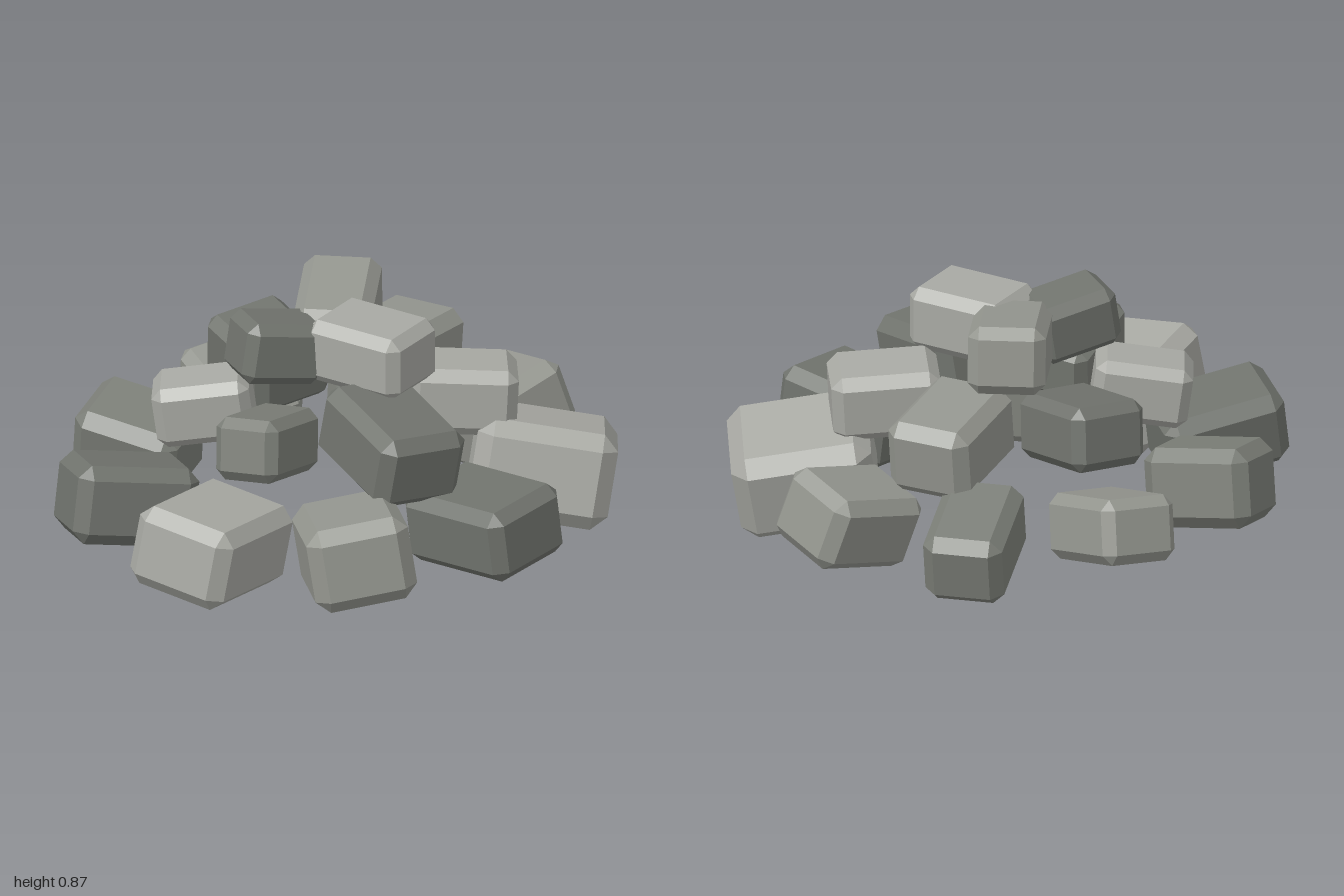
import * as THREE from 'three';
import { ConvexGeometry } from 'three/addons/geometries/ConvexGeometry.js';

// Box with every edge and corner cut off
function chamferedBox(w, h, l, c) {
  const points = [];
  for (const sx of [-1, 1]) for (const sy of [-1, 1]) for (const sz of [-1, 1]) {
    const x = w / 2, y = h / 2, z = l / 2;
    points.push(
      new THREE.Vector3(sx * x, sy * (y - c), sz * (z - c)),
      new THREE.Vector3(sx * (x - c), sy * y, sz * (z - c)),
      new THREE.Vector3(sx * (x - c), sy * (y - c), sz * z));
  }
  return new ConvexGeometry(points);
}

// Stone greys, from dark to light
const [dark, dim, mid, light] = [0x70736d, 0x7c7f78, 0x94968f, 0xa8a9a3].map((color) =>
  new THREE.MeshStandardMaterial({ color, flatShading: true }));

// Each stone: centre, size (across, height, outward length), yaw, pitch and roll in degrees, grey
const courses = {
  bottomStone: [
    [[0.135, 0.22, 0.66], [0.36, 0.26, 0.46], 9.5, -5, 4, dark],
    [[0.585, 0.22, 0.42], [0.42, 0.34, 0.49], 50, 9, -13, light],
    [[0.76, 0.215, -0.02], [0.32, 0.27, 0.41], 90, -14, -12, mid],
    [[0.58, 0.22, -0.475], [0.28, 0.26, 0.42], 126, 12, 0, dim],
    [[0.135, 0.22, -0.685], [0.29, 0.23, 0.42], 171.5, -16, -7, mid],
    [[-0.37, 0.22, -0.62], [0.31, 0.28, 0.39], -152.5, -8, -11, dim],
    [[-0.71, 0.22, -0.26], [0.31, 0.28, 0.44], -112.5, -9, 9, dark],
    [[-0.71, 0.215, 0.21], [0.38, 0.29, 0.5], -69, -8, -7, light],
    [[-0.365, 0.22, 0.57], [0.36, 0.3, 0.43], -30, -8, 8, mid],
  ],
  middleStone: [
    [[-0.05, 0.475, 0.38], [0.34, 0.27, 0.46], -8, 9, -5, dark],
    [[0.38, 0.49, 0.23], [0.28, 0.24, 0.38], 53.5, 3, -3, light],
    [[0.44, 0.475, -0.19], [0.31, 0.27, 0.42], 112.5, 7, 0, mid],
    [[0.055, 0.485, -0.435], [0.3, 0.23, 0.38], 174, -9, -5, dark],
    [[-0.36, 0.475, -0.27], [0.24, 0.22, 0.34], -131, 8, 0, light],
    [[-0.4, 0.48, 0.13], [0.24, 0.22, 0.37], -66.5, -13, 6, dim],
  ],
  topStone: [
    [[0.05, 0.715, 0.145], [0.29, 0.23, 0.38], 18, 0, 0, light],
    [[0.14, 0.72, -0.155], [0.27, 0.24, 0.42], 135, -8, 0, mid],
    [[-0.195, 0.715, -0.08], [0.23, 0.22, 0.3], -107, -10, 3, dark],
  ],
};

export function createModel() {
  const group = new THREE.Group();
  group.name = 'stonePile';
  const rad = THREE.MathUtils.degToRad;
  for (const [name, stones] of Object.entries(courses)) {
    stones.forEach(([centre, [w, h, l], yaw, pitch, roll, material], i) => {
      const stone = new THREE.Mesh(chamferedBox(w, h, l, Math.min(w, h, l) * 0.16), material);
      stone.name = `${name}${i + 1}`;
      stone.position.set(...centre);
      stone.rotation.set(rad(pitch), rad(yaw), rad(roll), 'YXZ');
      group.add(stone);
    });
  }

  // Rest the pile on the ground, centred
  group.updateMatrixWorld(true);
  const box = new THREE.Box3().setFromObject(group, true);
  const mid = box.getCenter(new THREE.Vector3());
  for (const stone of group.children) stone.position.sub(new THREE.Vector3(mid.x, box.min.y, mid.z));
  return group;
}
